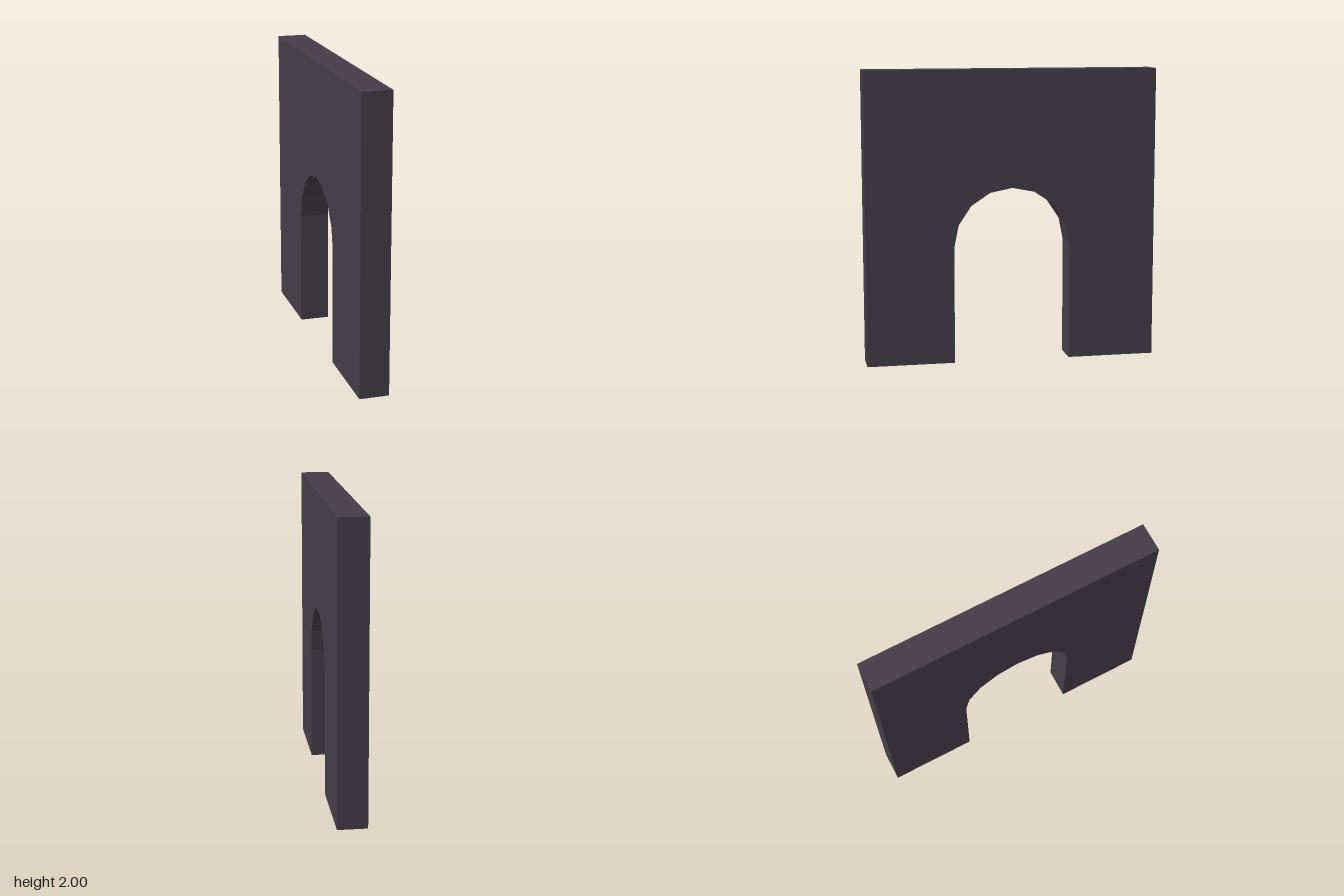
import * as THREE from 'three';

export function createModel() {
  const group = new THREE.Group();
  group.name = 'archedWall';

  const stone = new THREE.MeshStandardMaterial({ color: 0x443d47, flatShading: true });
  stone.name = 'dark stone';

  const half = 1, height = 2, thickness = 0.2;
  const radius = 0.4, spring = 0.8, segments = 8;

  // Wall outline with a round-headed doorway cut up from the floor
  const outline = new THREE.Shape();
  outline.moveTo(-half, 0);
  outline.lineTo(-radius, 0);
  for (let i = 0; i <= segments; i++) {
    const a = Math.PI * (1 - i / segments);
    outline.lineTo(radius * Math.cos(a), spring + radius * Math.sin(a));
  }
  outline.lineTo(radius, 0);
  outline.lineTo(half, 0);
  outline.lineTo(half, height);
  outline.lineTo(-half, height);
  outline.closePath();

  // Extrude through the thickness, then turn so the wall runs along z
  const geometry = new THREE.ExtrudeGeometry(outline, { depth: thickness, bevelEnabled: false });
  geometry.translate(0, 0, -thickness / 2);
  geometry.rotateY(Math.PI / 2);

  const wall = new THREE.Mesh(geometry, stone);
  wall.name = 'wallWithDoorway';
  group.add(wall);
  return group;
}
